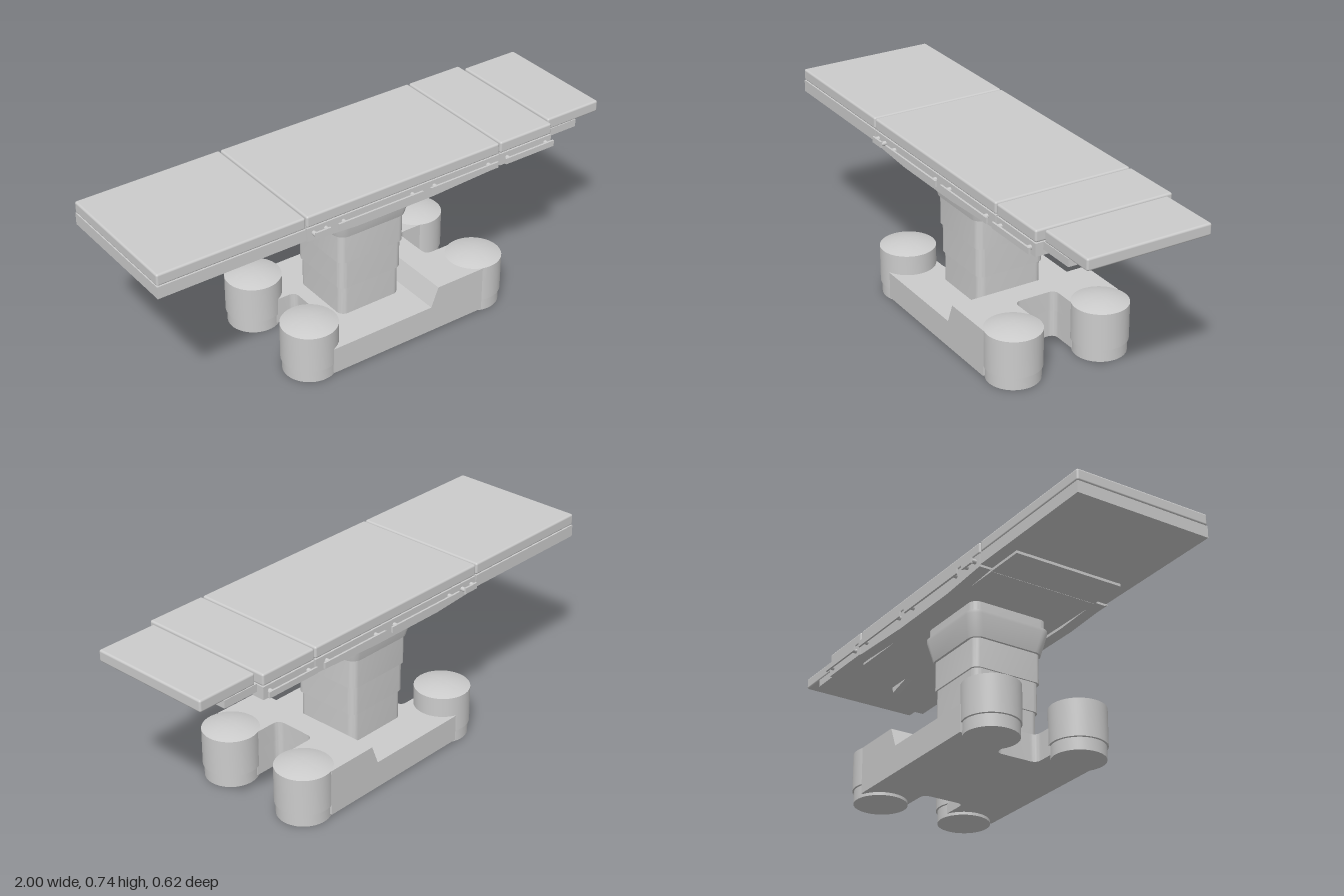
import * as THREE from 'three';
import { toCreasedNormals } from 'three/addons/utils/BufferGeometryUtils.js';
import { RoundedBoxGeometry } from 'three/addons/geometries/RoundedBoxGeometry.js';

const material = new THREE.MeshStandardMaterial({ color: 0xcccccc });

function add(parent, name, geometry) {
  const mesh = new THREE.Mesh(geometry, material);
  mesh.name = name;
  parent.add(mesh);
  return mesh;
}

// Box given by its limits; a radius rounds its edges
function block(parent, name, [x0, x1], [y0, y1], [z0, z1], radius = 0) {
  const size = [x1 - x0, y1 - y0, z1 - z0];
  const geometry = radius ? new RoundedBoxGeometry(...size, 3, radius) : new THREE.BoxGeometry(...size);
  geometry.translate((x0 + x1) / 2, (y0 + y1) / 2, (z0 + z1) / 2);
  return add(parent, name, geometry);
}

// Side profile in x and y, extruded from z0 to z1
function sideProfile(points, z0, z1) {
  const shape = new THREE.Shape(points.map(p => new THREE.Vector2(...p)));
  return new THREE.ExtrudeGeometry(shape, { depth: z1 - z0, bevelEnabled: false }).translate(0, 0, z0);
}

// Plan outline in x and z, extruded from y0 to y1
function plan(shape, y0, y1) {
  const geometry = new THREE.ExtrudeGeometry(shape, { depth: y1 - y0, bevelEnabled: false, curveSegments: 8 });
  return toCreasedNormals(geometry.rotateX(-Math.PI / 2).translate(0, y0, 0), 0.5);
}

// Rounded-rectangle sections stacked up y; each level is [y, halfX, halfZ]
function loft(levels, radius, centreX) {
  const rings = levels.map(([y, hx, hz]) => {
    const ring = [];
    [[1, 1], [-1, 1], [-1, -1], [1, -1]].forEach(([sx, sz], q) => {
      for (let k = 0; k <= 8; k++) {
        const a = (q + k / 8) * Math.PI / 2;
        ring.push([centreX + sx * (hx - radius) + radius * Math.cos(a), y, sz * (hz - radius) + radius * Math.sin(a)]);
      }
    });
    return ring;
  });
  const n = rings[0].length, top = rings.length - 1, pos = [];
  const tri = (...corners) => corners.forEach(c => pos.push(...c));
  const low = [centreX, levels[0][0], 0], high = [centreX, levels[top][0], 0];
  for (let i = 0; i < n; i++) {
    const j = (i + 1) % n;
    for (let r = 0; r < top; r++) {
      tri(rings[r][i], rings[r + 1][i], rings[r][j]);
      tri(rings[r][j], rings[r + 1][i], rings[r + 1][j]);
    }
    tri(low, rings[0][i], rings[0][j]);
    tri(high, rings[top][j], rings[top][i]);
  }
  const geometry = new THREE.BufferGeometry();
  geometry.setAttribute('position', new THREE.Float32BufferAttribute(pos, 3));
  return toCreasedNormals(geometry, 0.4);
}

// Adds a rounded notch, open toward the end of the outline at xEnd
function notch(shape, xEnd, xIn, half, side) {
  const r = 0.03, dx = Math.sign(xEnd - xIn) * r;
  shape.lineTo(xEnd, side * half);
  shape.lineTo(xIn + dx, side * half);
  shape.quadraticCurveTo(xIn, side * half, xIn, side * (half - r));
  shape.lineTo(xIn, -side * (half - r));
  shape.quadraticCurveTo(xIn, -side * half, xIn + dx, -side * half);
  shape.lineTo(xEnd, -side * half);
}

function makeBase() {
  const base = new THREE.Group();
  base.name = 'base';
  const w = 0.298;

  // Low deck, notched between the feet at both ends
  const deck = new THREE.Shape();
  deck.moveTo(-0.285, -w);
  deck.lineTo(0.418, -w);
  notch(deck, 0.418, 0.3, 0.09, -1);
  deck.lineTo(0.418, w);
  deck.lineTo(-0.285, w);
  notch(deck, -0.285, -0.2, 0.09, 1);
  deck.closePath();
  add(base, 'baseDeck', plan(deck, 0.012, 0.122));

  // Raised end with two arms and a sloping inner face
  const raised = new THREE.Shape();
  raised.moveTo(0.2, -w);
  raised.lineTo(0.418, -w);
  notch(raised, 0.418, 0.3, 0.09, -1);
  raised.lineTo(0.418, w);
  raised.lineTo(0.2, w);
  raised.closePath();
  add(base, 'raisedEnd', plan(raised, 0.122, 0.203));
  add(base, 'raisedSlope', sideProfile([[0.168, 0.122], [0.2, 0.122], [0.2, 0.203]], -w, w));

  // Domed feet
  const profile = [[0, 0], [0.105, 0], [0.105, 0.05], [0.111, 0.052], [0.111, 0.203]];
  for (let k = 1; k <= 8; k++) {
    const t = 1 - k / 8;
    profile.push([0.111 * t, 0.203 + 0.019 * (1 - t * t)]);
  }
  const foot = toCreasedNormals(new THREE.LatheGeometry(profile.map(p => new THREE.Vector2(...p)), 48), 0.4);
  for (const x of [-0.325, 0.455]) {
    for (const z of [-0.191, 0.191]) add(base, 'foot', foot).position.set(x, 0, z);
  }
  return base;
}

function makeColumn() {
  const column = new THREE.Group();
  column.name = 'column';
  const cx = -0.004;
  add(column, 'lowerStage', loft([[0.11, 0.138, 0.14], [0.245, 0.138, 0.14]], 0.03, cx));
  add(column, 'middleStage', loft([[0.245, 0.144, 0.146], [0.366, 0.144, 0.146]], 0.03, cx));
  add(column, 'upperStage', loft([[0.366, 0.15, 0.152], [0.487, 0.15, 0.152]], 0.03, cx));
  add(column, 'collar', loft([[0.487, 0.16, 0.162], [0.575, 0.179, 0.181], [0.588, 0.179, 0.181]], 0.045, cx));
  add(column, 'columnHead', loft([[0.588, 0.169, 0.17], [0.638, 0.169, 0.17]], 0.035, cx));
  return column;
}

function makeTabletop() {
  const table = new THREE.Group();
  table.name = 'tabletop';
  const w = 0.285;

  // Cushions
  const cushions = [
    ['legCushion', -1, -0.396, w], ['seatCushion', -0.391, 0.482, w],
    ['backCushion', 0.488, 0.738, w], ['headCushion', 0.746, 1, 0.255],
  ];
  for (const [name, x0, x1, half] of cushions) {
    block(table, name, [x0, x1], [0.69, 0.737], [-half, half], 0.008);
  }

  // Support frames under the cushions
  block(table, 'legFrame', [-1, -0.396], [0.64, 0.688], [-w, w]);
  block(table, 'seatFrame', [-0.391, 0.482], [0.638, 0.688], [-w, w]);
  block(table, 'backFrame', [0.488, 0.738], [0.638, 0.688], [-w, w]);
  block(table, 'headPlate', [0.738, 0.89], [0.659, 0.69], [-0.254, 0.254]);
  block(table, 'cushionBacking', [-0.99, 0.73], [0.68, 0.695], [-0.275, 0.275]);
  block(table, 'legJoint', [-0.555, -0.391], [0.629, 0.64], [-0.233, 0.233]);
  block(table, 'centrePlate', [-0.391, 0.55], [0.628, 0.64], [-0.233, 0.233]);
  add(table, 'releaseLever', sideProfile([[0.58, 0.638], [0.685, 0.612], [0.69, 0.638]], -0.015, 0.015));

  // Side beams with a bowed underside, and accessory rails on posts
  const beam = [[-0.391, 0.64], [-0.391, 0.634], [-0.17, 0.619], [0.17, 0.619], [0.482, 0.634], [0.482, 0.64]];
  const rails = [[-0.37, -0.305], [-0.27, 0.107], [0.142, 0.46], [0.497, 0.732]];
  const post = new THREE.CylinderGeometry(0.009, 0.009, 0.022, 16).rotateX(Math.PI / 2);
  for (const s of [-1, 1]) {
    add(table, 'sideBeam', sideProfile(beam, s > 0 ? 0.236 : -w, s > 0 ? w : -0.236));
    for (const [x0, x1] of rails) {
      const z = s * 0.306;
      block(table, 'accessoryRail', [x0, x1], [0.652, 0.676], [z - 0.004, z + 0.004]);
      const inset = Math.min(0.07, (x1 - x0) * 0.2);
      for (const x of [x0 + inset * 0.5, x1 - inset * 0.5]) {
        add(table, 'railPost', post).position.set(x, 0.664, s * 0.293);
      }
    }
  }
  return table;
}

export function createModel() {
  const model = new THREE.Group();
  model.name = 'operatingTable';
  model.add(makeBase(), makeColumn(), makeTabletop());
  return model;
}
